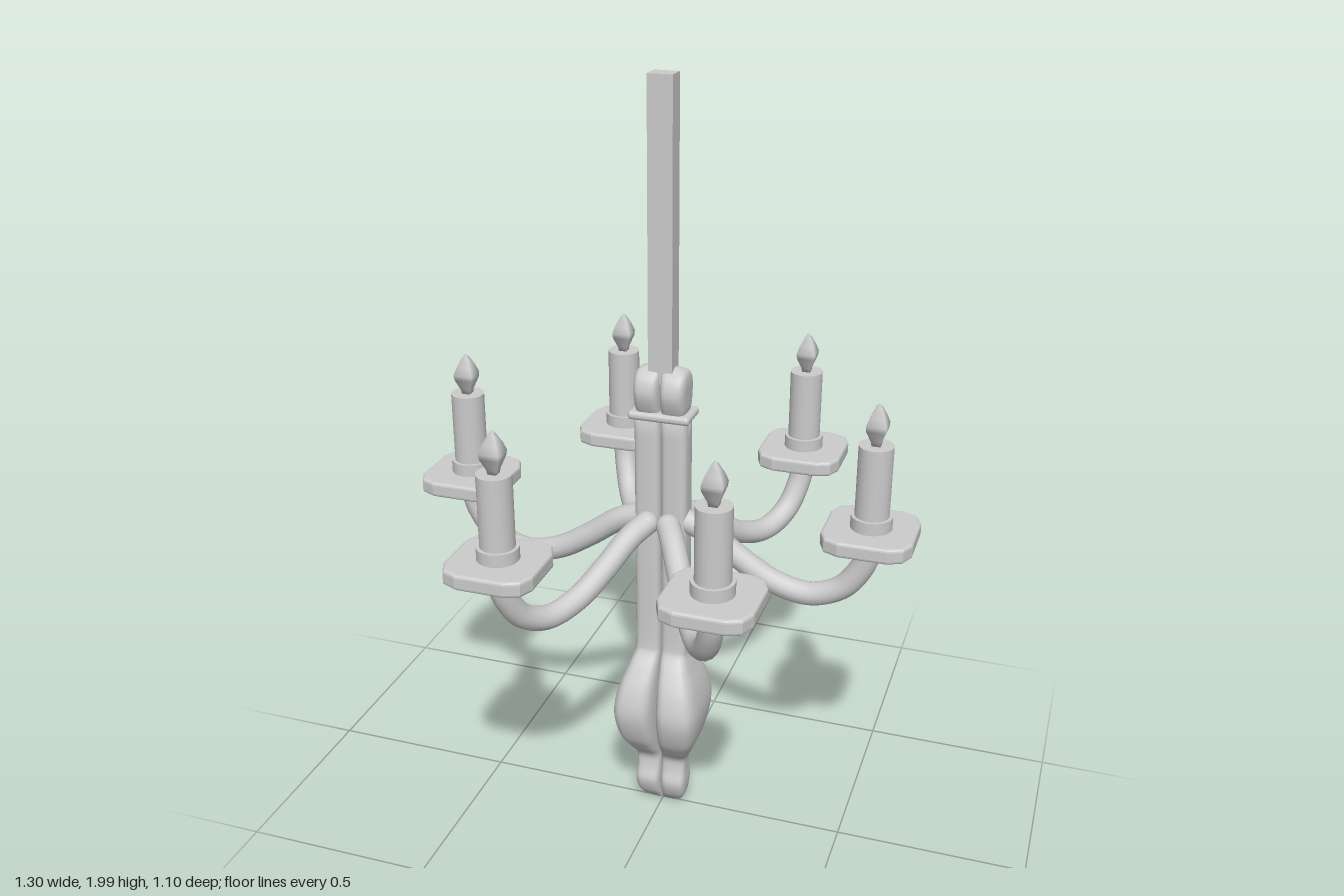
import * as THREE from 'three';
import { RoundedBoxGeometry } from 'three/addons/geometries/RoundedBoxGeometry.js';

const material = new THREE.MeshStandardMaterial({ color: 0xcccccc });

function add(parent, name, geometry, x = 0, y = 0, z = 0) {
  const mesh = new THREE.Mesh(geometry, material);
  mesh.name = name;
  mesh.position.set(x, y, z);
  parent.add(mesh);
  return mesh;
}

// Loft of rounded-rectangle sections; each row is [y, full width, half depth].
// The inner edge stays on x = 0 so two halves meet in a groove.
function loftHalf(rows, side) {
  const N = 28;
  const curve = new THREE.CatmullRomCurve3(rows.map(r => new THREE.Vector3(...r)), false, 'centripetal');
  const sections = curve.getPoints(rows.length * 6);
  const pos = [], idx = [];
  const power = (v) => Math.sign(v) * Math.pow(Math.abs(v), 0.55);
  for (const s of sections) {
    for (let i = 0; i < N; i++) {
      const a = (i / N) * Math.PI * 2;
      pos.push(side * (s.y / 2 + 0.001) + power(Math.cos(a)) * s.y / 2, s.x, -power(Math.sin(a)) * s.z);
    }
  }
  const last = sections.length - 1;
  for (let j = 0; j < last; j++) {
    for (let i = 0; i < N; i++) {
      const a = j * N + i, b = j * N + (i + 1) % N;
      idx.push(a, b, b + N, a, b + N, a + N);
    }
  }
  // End caps
  for (let i = 1; i < N - 1; i++) {
    idx.push(0, i + 1, i, last * N, last * N + i, last * N + i + 1);
  }
  const g = new THREE.BufferGeometry();
  g.setAttribute('position', new THREE.Float32BufferAttribute(pos, 3));
  g.setIndex(idx);
  g.computeVertexNormals();
  return g;
}

// Square dish with clipped corners and a softened rim
function dishGeometry() {
  const h = 0.105, c = 0.046, m = 0.014;
  const shape = new THREE.Shape();
  for (let k = 0; k < 4; k++) {
    const a = k * Math.PI / 2;
    for (const [u, v] of [[h, h - c], [h - m, h - m], [h - c, h]]) {
      const x = u * Math.cos(a) - v * Math.sin(a), y = u * Math.sin(a) + v * Math.cos(a);
      if (k === 0 && u === h) shape.moveTo(x, y); else shape.lineTo(x, y);
    }
  }
  shape.closePath();
  const g = new THREE.ExtrudeGeometry(shape, {
    depth: 0.024, bevelEnabled: true, bevelThickness: 0.008, bevelSize: 0.008, bevelSegments: 3,
  });
  return g.rotateX(-Math.PI / 2);
}

export function createModel() {
  const model = new THREE.Group();
  model.name = 'chandelier';

  // Split central column: bottom tip, bulb and shaft
  const column = [
    [0.008, 0.03, 0.003], [0.02, 0.054, 0.014], [0.045, 0.066, 0.032], [0.085, 0.07, 0.044],
    [0.125, 0.068, 0.033], [0.16, 0.07, 0.031], [0.2, 0.087, 0.06], [0.25, 0.106, 0.093],
    [0.33, 0.117, 0.115], [0.4, 0.105, 0.1], [0.46, 0.083, 0.066], [0.495, 0.07, 0.04],
    [0.51, 0.069, 0.035], [0.8, 0.069, 0.035], [1.18, 0.069, 0.035],
  ];
  // Rounded knob above the collar
  const knob = [
    [1.175, 0.058, 0.03], [1.19, 0.064, 0.04], [1.235, 0.066, 0.054],
    [1.27, 0.066, 0.046], [1.29, 0.06, 0.028], [1.3, 0.04, 0.008],
  ];
  for (const side of [1, -1]) {
    const label = side > 0 ? 'left' : 'right';
    add(model, label + 'ColumnHalf', loftHalf(column, side));
    add(model, label + 'KnobHalf', loftHalf(knob, side));
  }
  add(model, 'collar', new RoundedBoxGeometry(0.16, 0.022, 0.095, 3, 0.01), 0, 1.176, 0);
  add(model, 'hangingRod', new THREE.BoxGeometry(0.062, 0.74, 0.052), 0, 1.63, 0);

  // Shared candle parts
  const dish = dishGeometry();
  const cup = new THREE.CylinderGeometry(0.052, 0.052, 0.035, 20);
  const candle = new THREE.CylinderGeometry(0.043, 0.043, 0.22, 20);
  const flame = new THREE.LatheGeometry([
    [0, 0], [0.015, 0], [0.017, 0.012], [0.033, 0.042], [0.035, 0.055], [0.026, 0.075], [0.01, 0.1], [0, 0.11],
  ].map(p => new THREE.Vector2(...p)), 4, Math.PI / 4);
  const armCap = new THREE.SphereGeometry(0.031, 16, 12);

  // Arm path as [fraction of reach, height]
  const path = [
    [0.11, 0.888], [0.22, 0.865], [0.38, 0.805], [0.55, 0.752], [0.73, 0.733],
    [0.88, 0.765], [0.97, 0.83], [1, 0.88], [1, 0.915],
  ];
  const ends = [[0.535, 0], [0.262, 0.435], [-0.262, 0.435], [-0.535, 0], [-0.262, -0.435], [0.262, -0.435]];
  ends.forEach(([x, z], i) => {
    const branch = new THREE.Group();
    branch.name = 'branch' + (i + 1);
    model.add(branch);
    const curve = new THREE.CatmullRomCurve3(path.map(([f, y]) => new THREE.Vector3(x * f, y, z * f)));
    add(branch, 'arm', new THREE.TubeGeometry(curve, 40, 0.031, 14));
    add(branch, 'armCap', armCap, x * path[0][0], path[0][1], z * path[0][0]);
    add(branch, 'dish', dish, x, 0.913, z);
    add(branch, 'candleCup', cup, x, 0.96, z);
    add(branch, 'candle', candle, x, 1.052, z);
    add(branch, 'flame', flame, x, 1.16, z);
  });
  return model;
}
